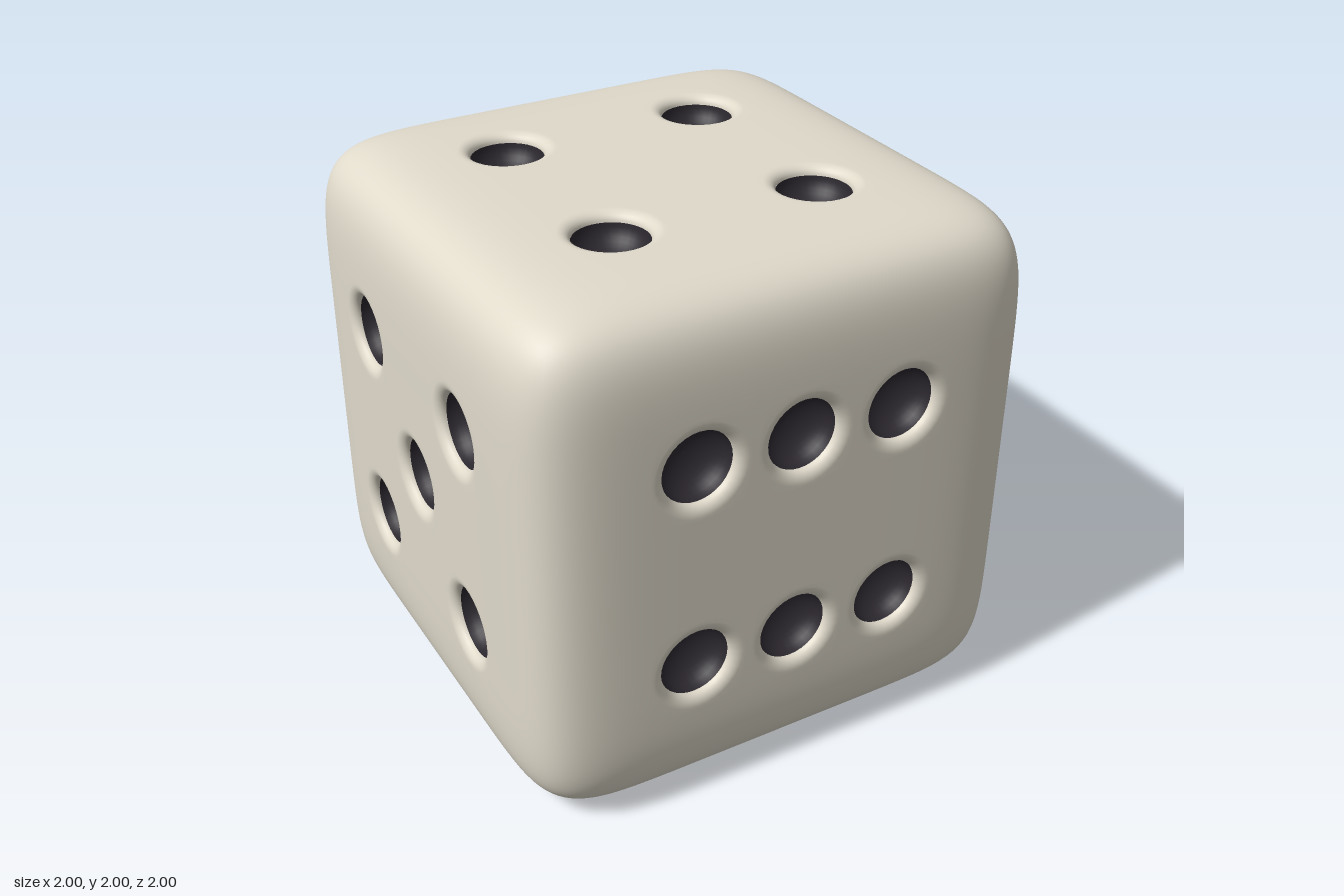
import * as THREE from 'three';
import { mergeVertices } from 'three/addons/utils/BufferGeometryUtils.js';

const POWER = 8.5;      // softness of the rounded cube
const PIP_R = 0.135;    // radius of the dark bowl
const LIP_R = 0.18;     // where the rounded lip begins
const LIP_DEPTH = 0.035;
const BOWL_DEPTH = 0.1;
const CELL = 0.4;       // square patch of face around each pip
const SEG = 8;          // grid segments per patch side
const s = 0.4, H = Math.PI / 2;

// Each face: rotation that turns +z to the face, and its pip centres
const FACES = [
  { name: 'front', rot: [0, 0], pips: [[-s, s], [0, s], [s, s], [-s, -s], [0, -s], [s, -s]] },
  { name: 'left', rot: [0, H], pips: [[-s, s], [s, -s]] },
  { name: 'back', rot: [0, 2 * H], pips: [[0, 0]] },
  { name: 'right', rot: [0, -H], pips: [[-s, s], [s, s], [0, 0], [-s, -s], [s, -s]] },
  { name: 'top', rot: [-H, 0], pips: [[-s, s], [s, s], [-s, -s], [s, -s]] },
  { name: 'bottom', rot: [H, 0], pips: [[s, s], [0, 0], [-s, -s]] },
];

// Point on the rounded cube above face coordinates u, v, sunk by depth
function surface(u, v, depth = 0) {
  const k = (Math.abs(u) ** POWER + Math.abs(v) ** POWER + 1) ** (-1 / POWER);
  return new THREE.Vector3(u * k, v * k, k - depth);
}

// Grid lines: fine margins at the rounded edges, three pip patches between
function gridLines() {
  const lines = [];
  for (let i = 0; i < 14; i++) lines.push(-1 + (0.4 * i) / 14);
  for (let i = 0; i <= 3 * SEG; i++) lines.push(-0.6 + (1.2 * i) / (3 * SEG));
  for (let i = 1; i <= 14; i++) lines.push(0.6 + (0.4 * i) / 14);
  return lines;
}

// Rings leading from the square patch border to the circular pip rim
function pipRings(cx, cy) {
  const n = 4 * SEG, rings = [];
  const corners = [[-1, -1], [1, -1], [1, 1], [-1, 1]];
  const ring = (radius, depth, squareness) => {
    const pts = [];
    for (let k = 0; k < n; k++) {
      const side = Math.floor(k / SEG), t = (k % SEG) / SEG;
      const a = corners[side], b = corners[(side + 1) % 4];
      const angle = -0.75 * Math.PI + (k / n) * 2 * Math.PI;
      const mix = (i, c) => THREE.MathUtils.lerp(c * radius, (a[i] + (b[i] - a[i]) * t) * CELL / 2, squareness);
      pts.push(surface(cx + mix(0, Math.cos(angle)), cy + mix(1, Math.sin(angle)), depth));
    }
    rings.push(pts);
  };
  for (const q of [1, 0.5, 0]) ring(LIP_R, 0, q);
  for (let i = 1; i <= 7; i++) {
    const a = (i / 7) * H;
    ring(LIP_R - (LIP_R - PIP_R) * Math.sin(a), LIP_DEPTH * (1 - Math.cos(a)), 0);
  }
  return rings;
}

function bodyGeometry() {
  const positions = [];
  const lines = gridLines();
  for (const { rot, pips } of FACES) {
    const turn = new THREE.Euler(rot[0], rot[1], 0);
    const quad = (a, b, c, d) => {
      for (const p of [a, b, c, a, c, d]) positions.push(...p.clone().applyEuler(turn).toArray());
    };
    // Face grid, leaving out the pip patches
    for (let i = 0; i < lines.length - 1; i++) {
      for (let j = 0; j < lines.length - 1; j++) {
        const [u0, u1, v0, v1] = [lines[i], lines[i + 1], lines[j], lines[j + 1]];
        const inPatch = pips.some(([x, y]) =>
          Math.max(Math.abs((u0 + u1) / 2 - x), Math.abs((v0 + v1) / 2 - y)) < CELL / 2);
        if (!inPatch) quad(surface(u0, v0), surface(u1, v0), surface(u1, v1), surface(u0, v1));
      }
    }
    // Patches with a rounded hole
    for (const [x, y] of pips) {
      const rings = pipRings(x, y);
      for (let r = 0; r < rings.length - 1; r++) {
        const A = rings[r], B = rings[r + 1];
        A.forEach((p, k) => {
          const m = (k + 1) % A.length;
          quad(p, A[m], B[m], B[k]);
        });
      }
    }
  }
  const geo = new THREE.BufferGeometry();
  geo.setAttribute('position', new THREE.Float32BufferAttribute(positions, 3));
  const merged = mergeVertices(geo, 1e-4);
  merged.computeVertexNormals();
  return merged;
}

// Shallow round bowl, open towards +z, rim at z = 0
function bowlGeometry() {
  const profile = [];
  for (let i = 0; i <= 10; i++) {
    const a = (i / 10) * H;
    profile.push(new THREE.Vector2(Math.max(PIP_R * Math.cos(a), 0), -BOWL_DEPTH * Math.sin(a)));
  }
  return new THREE.LatheGeometry(profile, 4 * SEG).rotateX(H);
}

export function createModel() {
  const model = new THREE.Group();
  model.name = 'die';
  const ivory = new THREE.MeshStandardMaterial({ color: 0xe0dacb });
  const dark = new THREE.MeshStandardMaterial({ color: 0x2b272e });

  const body = new THREE.Mesh(bodyGeometry(), ivory);
  body.name = 'body';
  body.position.y = 1;
  model.add(body);

  // Dark bowls set into the holes
  const bowl = bowlGeometry();
  for (const { name, rot, pips } of FACES) {
    const face = new THREE.Group();
    face.name = name + 'Pips';
    face.rotation.set(rot[0], rot[1], 0);
    face.position.y = 1;
    for (const [x, y] of pips) {
      const pip = new THREE.Mesh(bowl, dark);
      pip.name = 'pip';
      pip.position.copy(surface(x, y, LIP_DEPTH));
      face.add(pip);
    }
    model.add(face);
  }
  return model;
}
